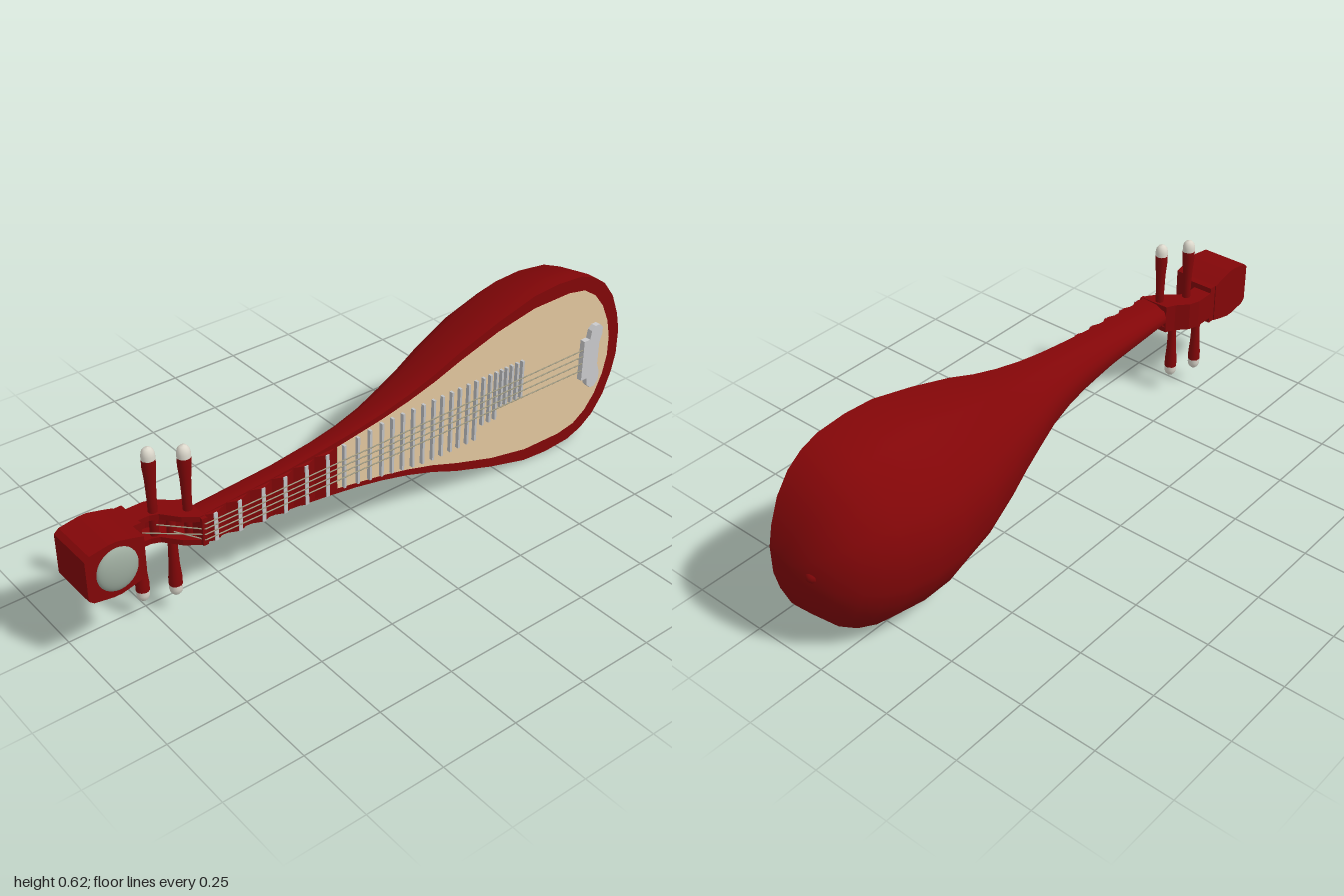
import * as THREE from 'three';
import { toCreasedNormals } from 'three/addons/utils/BufferGeometryUtils.js';

const CY = 0.31;   // height of the long axis
const FACE = 0.15; // x of the flat front of the body

const mat = (name, color) => {
  const m = new THREE.MeshStandardMaterial({ color });
  m.name = name;
  return m;
};

export function createModel() {
  const red = mat('red lacquer', 0x820608);
  const tan = mat('pale wood', 0xe2c69e);
  const grey = mat('grey bridge', 0xcacacc);
  const fretGrey = mat('fret grey', 0xc0c2c4);
  const stringGrey = mat('string grey', 0xa09c84);
  const cream = mat('ivory', 0xdcd8cc);
  const jade = mat('jade', 0x9caa9d);

  const root = new THREE.Group();
  root.name = 'lute';
  const add = (name, geo, m, parent = root) => {
    const mesh = new THREE.Mesh(geo, m);
    mesh.name = name;
    parent.add(mesh);
    return mesh;
  };
  const group = (name) => {
    const g = new THREE.Group();
    g.name = name;
    root.add(g);
    return g;
  };
  const box = (name, x0, x1, y0, y1, z0, z1, m, parent) => {
    const mesh = add(name, new THREE.BoxGeometry(x1 - x0, y1 - y0, z1 - z0), m, parent);
    mesh.position.set((x0 + x1) / 2, (y0 + y1) / 2, (z0 + z1) / 2);
    return mesh;
  };
  // Outline in [z, y offset], extruded along +x
  const plate = (name, pts, x0, depth, m) => {
    const shape = new THREE.Shape(pts.map(([z, y]) => new THREE.Vector2(-z, y)));
    const geo = new THREE.ExtrudeGeometry(shape, { depth, bevelEnabled: false });
    geo.rotateY(Math.PI / 2).translate(x0, CY, 0);
    return add(name, geo, m);
  };
  // Outline in [x, z], extruded along +y from an offset
  const slab = (name, pts, y, depth, m) => {
    const shape = new THREE.Shape(pts.map(([x, z]) => new THREE.Vector2(x, -z)));
    const geo = new THREE.ExtrudeGeometry(shape, { depth, bevelEnabled: false });
    return add(name, geo.rotateX(-Math.PI / 2).translate(0, CY + y, 0), m);
  };
  const mirrored = (half) => [...half, ...half.slice().reverse().map(([z, y]) => [z, -y])];

  // Body and neck: cross-sections [z, half width, x of the back]
  const sections = [
    [0.645, 0.045, 0.06], [0.5, 0.056, 0.056], [0.35, 0.068, 0.052], [0.2, 0.086, 0.04],
    [0.1, 0.1, 0.024], [0, 0.119, 0], [-0.1, 0.144, -0.034], [-0.2, 0.176, -0.068],
    [-0.3, 0.216, -0.104], [-0.45, 0.264, -0.152], [-0.6, 0.303, -0.178], [-0.7, 0.31, -0.176],
    [-0.8, 0.303, -0.156], [-0.86, 0.281, -0.13], [-0.91, 0.245, -0.098], [-0.955, 0.185, -0.05],
    [-0.985, 0.11, 0.01], [-1, 0.045, 0.07],
  ];
  const profile = mirrored([[0, 1], [0.1, 1], [0.54, 0.92], [0.79, 0.66], [0.92, 0.43], [1, 0.21]]);
  const n = profile.length;
  const pos = [], idx = [];
  sections.forEach(([z, h, back], i) => {
    profile.forEach(([d, w], j) => {
      pos.push(FACE + (back - FACE) * d, CY + h * w, z);
      if (i < sections.length - 1) {
        const a = i * n + j, b = i * n + (j + 1) % n;
        idx.push(a, a + n, b, b, a + n, b + n);
      }
    });
  });
  const last = (sections.length - 1) * n;
  for (let j = 1; j < n - 1; j++) idx.push(0, j, j + 1, last, last + j + 1, last + j);
  const bodyGeo = new THREE.BufferGeometry();
  bodyGeo.setAttribute('position', new THREE.Float32BufferAttribute(pos, 3));
  bodyGeo.setIndex(idx);
  add('body', toCreasedNormals(bodyGeo, 0.9), red);
  add('tailButton', new THREE.SphereGeometry(0.022, 14, 10), red).position.set(0.02, CY, -0.972);

  // Soundboard
  plate('soundboard', mirrored([
    [0.17, 0.072], [0, 0.1], [-0.1, 0.122], [-0.2, 0.15], [-0.3, 0.185], [-0.45, 0.23], [-0.6, 0.259],
    [-0.75, 0.261], [-0.82, 0.248], [-0.87, 0.215], [-0.91, 0.165], [-0.94, 0.1], [-0.955, 0.035],
  ]), FACE - 0.002, 0.0035, tan);

  // Wedge-shaped neck frets with a thin grey cap
  const ridges = group('neckFrets');
  [0.6, 0.52, 0.44, 0.365, 0.29, 0.215].forEach((z) => {
    const hw = 0.046 + (0.6 - z) * 0.068;
    const wedge = new THREE.Shape([[-0.036, 0], [0.036, 0], [0.006, 0.013], [-0.006, 0.013]]
      .map(([u, v]) => new THREE.Vector2(u, v)));
    const geo = new THREE.ExtrudeGeometry(wedge, { depth: hw * 2, bevelEnabled: false });
    // shape u -> z, v -> x, extrusion -> y
    geo.applyMatrix4(new THREE.Matrix4().set(0, 1, 0, FACE, 0, 0, 1, CY - hw, 1, 0, 0, z, 0, 0, 0, 1));
    add('neckFret', geo, red, ridges);
    box('neckFretCap', FACE + 0.011, FACE + 0.016, CY - hw, CY + hw, z - 0.006, z + 0.006, fretGrey, ridges);
  });

  // Body frets, closer together and shorter towards the bridge
  const frets = group('bodyFrets');
  const fretZ = [0.15, 0.1, 0.055, 0.01, -0.03, -0.07, -0.11, -0.15, -0.19, -0.225, -0.262, -0.295,
    -0.33, -0.362, -0.392, -0.42, -0.445, -0.467, -0.488, -0.51, -0.533, -0.555];
  fretZ.forEach((z) => {
    const top = Math.min(0.094, 0.075 + (0.15 - z) * 0.13);
    let bottom = Math.min(0.12, 0.072 + (0.15 - z) * 0.15);
    if (z < -0.37) bottom = 0.076;
    if (z < -0.45) bottom = 0.04;
    box('bodyFret', FACE, 0.164, CY - bottom, CY + top, z - 0.004, z + 0.004, fretGrey, frets);
  });

  // Bridge
  plate('bridge', [
    [-0.82, -0.075], [-0.82, 0.07], [-0.845, 0.07], [-0.85, 0.1], [-0.865, 0.113], [-0.885, 0.113],
    [-0.9, 0.098], [-0.9, 0.075], [-0.89, 0.045], [-0.89, -0.035], [-0.902, -0.07], [-0.9, -0.1],
    [-0.885, -0.117], [-0.865, -0.117], [-0.848, -0.1], [-0.845, -0.075],
  ].reverse(), FACE, 0.02, grey);

  // Nut
  box('nut', 0.14, 0.166, CY - 0.045, CY + 0.045, 0.628, 0.645, red);

  // Peg box: two bent cheeks and a thin back between them
  const back = [[0, 0.81], [0, 0.73], [0.012, 0.695], [0.045, 0.66], [0.06, 0.63]];
  const front = [[0.155, 0.63], [0.155, 0.645], [0.125, 0.685], [0.075, 0.725], [0.065, 0.75], [0.065, 0.81]];
  [-0.048, 0.03].forEach((y) => slab('pegBoxCheek', [...front, ...back], y, 0.018, red));
  const floor = [...back, ...back.slice().reverse().map(([x, z]) => [x + 0.014, z + 0.006])];
  slab('pegBoxBack', floor, -0.031, 0.062, red);

  // Head block with a jade dome
  box('headCollar', 0, 0.1, CY - 0.066, CY + 0.066, 0.795, 0.87, red);
  plate('head', mirrored([
    [1, 0.064], [0.985, 0.077], [0.925, 0.087], [0.9, 0.087], [0.855, 0.076], [0.82, 0.066],
  ]).reverse(), -0.003, 0.158, red);
  const dome = add('headDome', new THREE.SphereGeometry(1, 28, 10, 0, Math.PI * 2, 0, Math.PI / 2), jade);
  dome.scale.set(0.069, 0.023, 0.064);
  dome.rotation.z = -Math.PI / 2;
  dome.position.set(0.154, CY, 0.907);

  // Tuning pegs: [x, z, side]
  const pegData = [[0.053, 0.73, 1], [0.103, 0.65, 1], [0.038, 0.775, -1], [0.073, 0.688, -1]];
  const v2 = (pts) => pts.map(([r, y]) => new THREE.Vector2(r, y));
  const shaft = v2([[0.001, -0.03], [0.013, -0.03], [0.014, 0.09], [0.016, 0.15], [0.02, 0.195], [0.02, 0.22]]);
  const tip = v2([[0.02, 0.219], [0.02, 0.233], [0.017, 0.246], [0.01, 0.254], [0, 0.257]]);
  pegData.forEach(([x, z, side]) => {
    const peg = group('tuningPeg');
    add('pegShaft', new THREE.LatheGeometry(shaft, 16), red, peg);
    add('pegTip', new THREE.LatheGeometry(tip, 16), cream, peg);
    peg.position.set(x, side > 0 ? CY : CY + 0.008, z);
    if (side < 0) peg.rotation.x = Math.PI;
  });

  // Strings: bridge to nut, then down to a peg
  const strings = group('strings');
  const rod = (a, b) => {
    const path = new THREE.LineCurve3(new THREE.Vector3(...a), new THREE.Vector3(...b));
    add('string', new THREE.TubeGeometry(path, 1, 0.002, 6), stringGrey, strings);
  };
  [0.038, 0.014, -0.012, -0.038].forEach((y, i) => {
    const nutPoint = [0.167, CY + y * 0.7, 0.637];
    const [px, pz] = pegData[[1, 0, 2, 3][i]];
    rod([0.166, CY + y, -0.83], nutPoint);
    rod(nutPoint, [px + 0.012, CY + y * 0.6, pz]);
  });

  return root;
}
